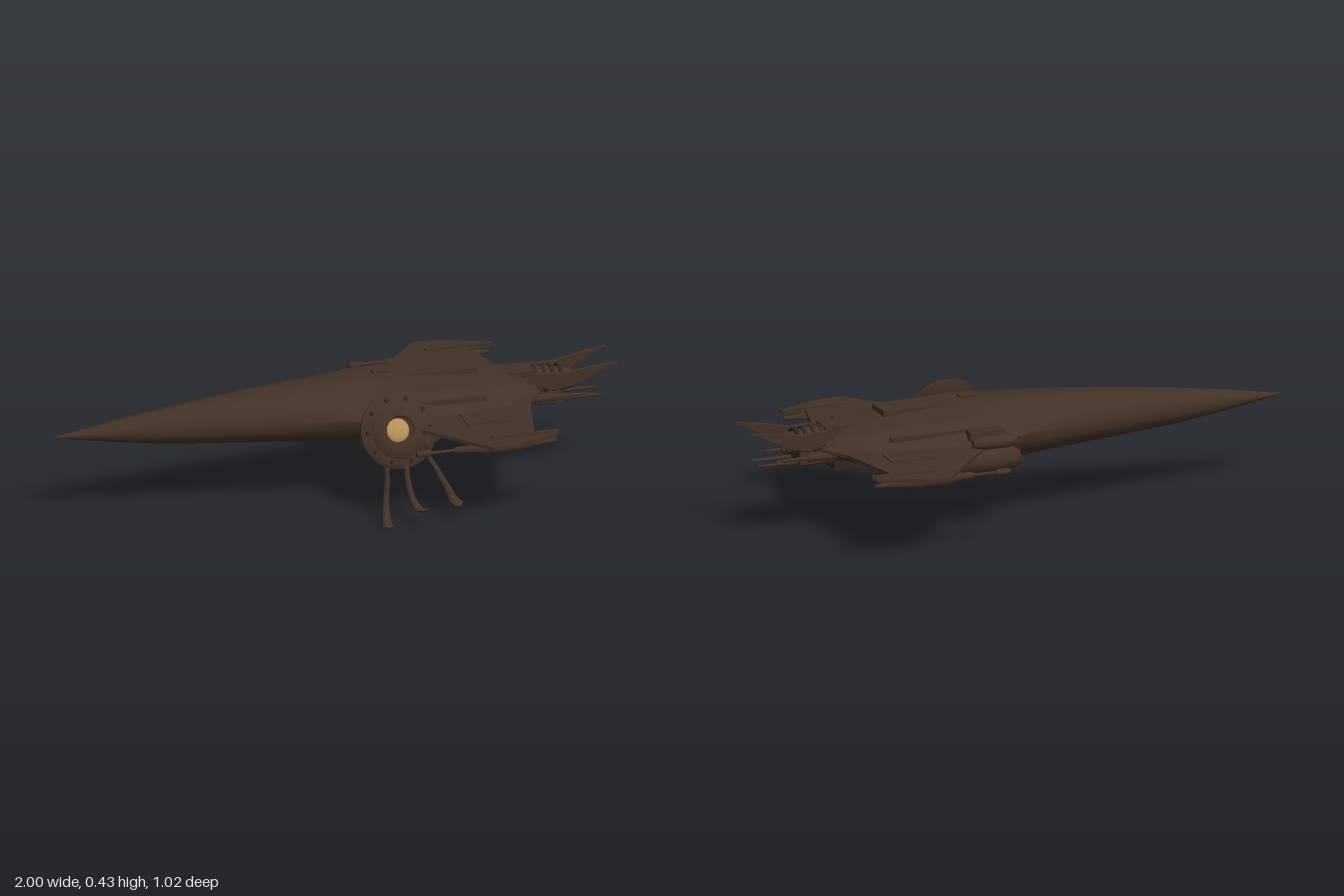
import * as THREE from 'three';
import { toCreasedNormals } from 'three/addons/utils/BufferGeometryUtils.js';

const mat = (name, color, side = THREE.FrontSide) => {
  const m = new THREE.MeshStandardMaterial({ color, side });
  m.name = name;
  return m;
};

export function createModel() {
  const root = new THREE.Group();
  root.name = 'starship';
  const brown = mat('darkBrown', 0x423126);
  const shade = mat('deepBrown', 0x33261e);
  const gold = mat('paleGold', 0xb8925a);

  const add = (name, geo, material = brown, x = 0, y = 0, z = 0, parent = root) => {
    const m = new THREE.Mesh(geo, material);
    m.name = name;
    m.position.set(x, y, z);
    parent.add(m);
    return m;
  };
  const box = (name, x, y, z, w, h, d, material = brown) =>
    add(name, new THREE.BoxGeometry(w, h, d), material, x, y, z);

  // Skin over a row of closed rings
  const loft = (rings, crease = 0.6) => {
    const n = rings[0].length, pos = [], idx = [];
    rings.forEach(r => r.forEach(p => pos.push(p.x, p.y, p.z)));
    for (let i = 0; i < rings.length - 1; i++)
      for (let j = 0; j < n; j++) {
        const a = i * n + j, b = i * n + (j + 1) % n;
        idx.push(a, b, a + n, b, b + n, a + n);
      }
    const g = new THREE.BufferGeometry();
    g.setAttribute('position', new THREE.Float32BufferAttribute(pos, 3));
    g.setIndex(idx);
    return toCreasedNormals(g, crease);
  };

  // Turned shape from [along, radius] pairs, optionally laid along x
  const turned = (profile, alongX = true, seg = 24) => {
    const g = new THREE.LatheGeometry(profile.map(([a, r]) => new THREE.Vector2(r, a)), seg);
    if (alongX) g.rotateZ(-Math.PI / 2);
    return toCreasedNormals(g, 0.6);
  };

  // Plate from an outline, extruded and centred on its thickness
  const plate = (pts, depth, bevel = 0) => {
    const s = new THREE.Shape(pts.map(([x, y]) => new THREE.Vector2(x, y)));
    const g = new THREE.ExtrudeGeometry(s, {
      depth, bevelEnabled: bevel > 0, bevelSize: bevel, bevelThickness: bevel, bevelSegments: 1,
    });
    return g.translate(0, 0, -depth / 2);
  };

  // Hull: needle nose blending into a shouldered body; x, bottom, top, half width, blend
  const stations = [
    [-1, 0.309, 0.311, 0.001, 0], [-0.8, 0.276, 0.346, 0.034, 0], [-0.6, 0.25, 0.374, 0.068, 0],
    [-0.4, 0.235, 0.398, 0.1, 0], [-0.2, 0.222, 0.415, 0.132, 0.1], [0, 0.21, 0.427, 0.167, 0.3],
    [0.12, 0.188, 0.43, 0.19, 0.8], [0.2, 0.18, 0.431, 0.195, 1], [0.32, 0.19, 0.427, 0.19, 1],
    [0.45, 0.22, 0.414, 0.175, 1], [0.58, 0.25, 0.396, 0.15, 1], [0.68, 0.27, 0.38, 0.1, 1],
    [0.73, 0.285, 0.37, 0.055, 0.6], [0.735, 0.32, 0.33, 0.002, 0],
  ];
  const half = [[0, 1], [0.38, 0.97], [0.47, 0.6], [0.76, 0.42], [1, 0.04],
    [0.94, -0.15], [0.74, -0.55], [0.55, -0.88], [0.32, -1], [0, -1]];
  const full = half.concat(half.slice(1, -1).reverse().map(([z, y]) => [-z, y]));
  add('hull', loft(stations.map(([x, lo, hi, w, t]) => full.map(([pz, py], j) => {
    const a = j / full.length * Math.PI * 2, mid = 0.31;
    const z = THREE.MathUtils.lerp(Math.sin(a), pz, t);
    const y = THREE.MathUtils.lerp(Math.cos(a), py, t);
    return new THREE.Vector3(x, mid + y * (y > 0 ? hi - mid : mid - lo), z * w);
  }))));

  // Spine and belly detail
  box('spineBlock', 0.34, 0.418, 0, 0.32, 0.02, 0.11);
  box('spineHatch', 0.17, 0.43, 0, 0.06, 0.016, 0.035);
  box('rearSpine', 0.6, 0.378, 0, 0.22, 0.026, 0.09);
  box('bellyKeel', 0.3, 0.195, 0, 0.24, 0.026, 0.12, shade);
  box('rearKeel', 0.55, 0.25, 0, 0.26, 0.03, 0.1, shade);
  for (const x of [0.18, 0.28, 0.38])
    add('bellyPipe', new THREE.CylinderGeometry(0.014, 0.014, 0.2, 10).rotateX(Math.PI / 2), shade, x, 0.215, 0);

  // Mirrored parts on both flanks
  for (const s of [-1, 1]) {
    const wing = plate([[0.14, 0.15], [0.21, 0.25], [0.43, 0.51], [0.51, 0.51], [0.68, 0.445],
      [0.68, 0.42], [0.605, 0.42], [0.67, 0.14], [0.73, 0.05], [0.3, 0.05]].map(([x, z]) => [x, -s * z]), 0.012);
    add('wing', wing.rotateX(-Math.PI / 2), brown, 0, 0.309, 0);
    box('wingPanel', 0.48, 0.317, s * 0.24, 0.16, 0.006, 0.1);

    // Wingtip cannon
    add('tipCannon', turned([[0.18, 0], [0.18, 0.011], [0.23, 0.011], [0.23, 0.006], [0.31, 0.006], [0.32, 0.012],
      [0.38, 0.014], [0.42, 0.025], [0.53, 0.025], [0.6, 0.014], [0.68, 0.006], [0.68, 0]], true, 14),
      brown, 0, 0.285, s * 0.43);
    box('tipRail', 0.57, 0.315, s * 0.425, 0.24, 0.012, 0.018);

    // Underslung pod
    add('enginePod', turned([[0.05, 0], [0.05, 0.026], [0.08, 0.04], [0.14, 0.045], [0.26, 0.045],
      [0.27, 0.04], [0.32, 0.038], [0.32, 0.028], [0.305, 0.026], [0.305, 0]]), brown, 0, 0.255, s * 0.185);
    if (s < 0)
      add('podGlow', new THREE.CircleGeometry(0.025, 20).rotateY(Math.PI / 2), gold, 0.307, 0.255, s * 0.185);
    box('podPylon', 0.19, 0.295, s * 0.175, 0.14, 0.04, 0.05);

    // Shoulder pods
    add('shoulderPod', turned([[0.08, 0], [0.08, 0.016], [0.11, 0.024], [0.2, 0.024], [0.24, 0.014], [0.24, 0]], true, 14),
      brown, 0, 0.332, s * 0.235);
    box('shoulderBlock', 0.17, 0.345, s * 0.175, 0.13, 0.034, 0.05);
    box('shoulderRail', 0.36, 0.352, s * 0.145, 0.3, 0.016, 0.02);
    box('sideVent', 0.5, 0.285, s * 0.13, 0.2, 0.03, 0.05, shade);

    // Tail blades and barrels
    const fin = add('tailBlade', plate([[0, -0.015], [0.1, -0.045], [0.18, -0.025], [0.32, 0.046],
      [0.22, 0.032], [0.13, 0.015], [0.03, 0.02]], 0.006, 0.002), brown, 0.68, 0.362, s * 0.05);
    fin.rotation.y = -s * 0.09;
    for (const [y, z, end] of [[0.275, 0.035, 0.955], [0.295, 0.065, 0.9]])
      add('tailBarrel', turned([[0.64, 0], [0.64, 0.014], [0.78, 0.014], [0.79, 0.007], [end - 0.04, 0.006],
        [end, 0.003], [end, 0]], true, 10), brown, 0, y, s * z);
  }

  // Main thruster with cooling rings
  add('thruster', turned([[0.66, 0], [0.66, 0.055], [0.76, 0.052], [0.8, 0.044], [0.85, 0.036],
    [0.85, 0.026], [0.82, 0.02], [0.82, 0]]), brown, 0, 0.335, 0);
  for (const x of [0.72, 0.75, 0.78, 0.81])
    add('thrusterRing', new THREE.TorusGeometry(0.05, 0.007, 8, 24).rotateY(Math.PI / 2), shade, x, 0.335, 0);
  box('thrusterClamp', 0.77, 0.29, 0, 0.08, 0.04, 0.11);

  // Boarding disc clinging to the flank, its axis tipped outward and up
  const disc = new THREE.Group();
  disc.name = 'boardingDisc';
  disc.position.set(0.165, 0.307, 0.248);
  disc.rotation.x = 1.19;
  root.add(disc);
  add('discShell', turned([[-0.03, 0], [-0.03, 0.06], [-0.012, 0.12], [-0.004, 0.135], [0.004, 0.135],
    [0.012, 0.125], [0.018, 0.1], [0.024, 0.095], [0.034, 0.065], [0.034, 0.05], [0.028, 0.045], [0.028, 0]], false, 40),
    brown, 0, 0, 0, disc);
  add('discEye', new THREE.SphereGeometry(0.042, 24, 8, 0, Math.PI * 2, 0, Math.PI / 2).scale(1, 0.3, 1),
    gold, -0.01, 0.028, 0, disc);
  for (let i = 0; i < 10; i++) {
    const a = i / 10 * Math.PI * 2;
    add('discStud', new THREE.CylinderGeometry(0.007, 0.009, 0.012, 8), shade,
      Math.cos(a) * 0.112, 0.017, Math.sin(a) * 0.112, disc);
  }
  const strut = add('discMount', new THREE.CylinderGeometry(0.05, 0.06, 0.09, 16), shade, 0, -0.05, 0, disc);
  strut.castShadow = false;

  // Hanging legs: flattened limbs that widen toward the foot
  const leg = (name, pts) => {
    const curve = new THREE.CatmullRomCurve3(pts.map(p => new THREE.Vector3(...p)));
    const rings = [];
    for (let i = 0; i <= 16; i++) {
      const t = i / 16, c = curve.getPoint(t), T = curve.getTangent(t);
      const U = new THREE.Vector3(1, 0, 0).addScaledVector(T, -T.x).normalize();
      const V = T.clone().cross(U);
      const end = i === 0 || i === 16 ? 0.05 : 1;
      const w = (0.009 + 0.012 * t * t) * end;
      const d = (0.009 + 0.006 * Math.sin(t * Math.PI * 2.5) ** 2 * (t > 0.3 ? 1 : 0.3)) * (1 - 0.6 * t ** 4) * end;
      rings.push(Array.from({ length: 10 }, (_, j) => {
        const a = j / 10 * Math.PI * 2;
        return c.clone().addScaledVector(U, Math.cos(a) * w).addScaledVector(V, Math.sin(a) * d);
      }));
    }
    add(name, loft(rings, 0.9));
  };
  leg('frontLeg', [[0.115, 0.22, 0.275], [0.112, 0.14, 0.295], [0.102, 0.06, 0.315], [0.095, 0.018, 0.355], [0.092, 0.008, 0.395]]);
  leg('middleLeg', [[0.18, 0.22, 0.285], [0.178, 0.15, 0.325], [0.185, 0.09, 0.365], [0.195, 0.072, 0.405], [0.2, 0.085, 0.46]]);
  leg('rearLeg', [[0.26, 0.22, 0.28], [0.29, 0.165, 0.31], [0.312, 0.12, 0.335], [0.33, 0.08, 0.36], [0.352, 0.062, 0.392]]);

  return root;
}
